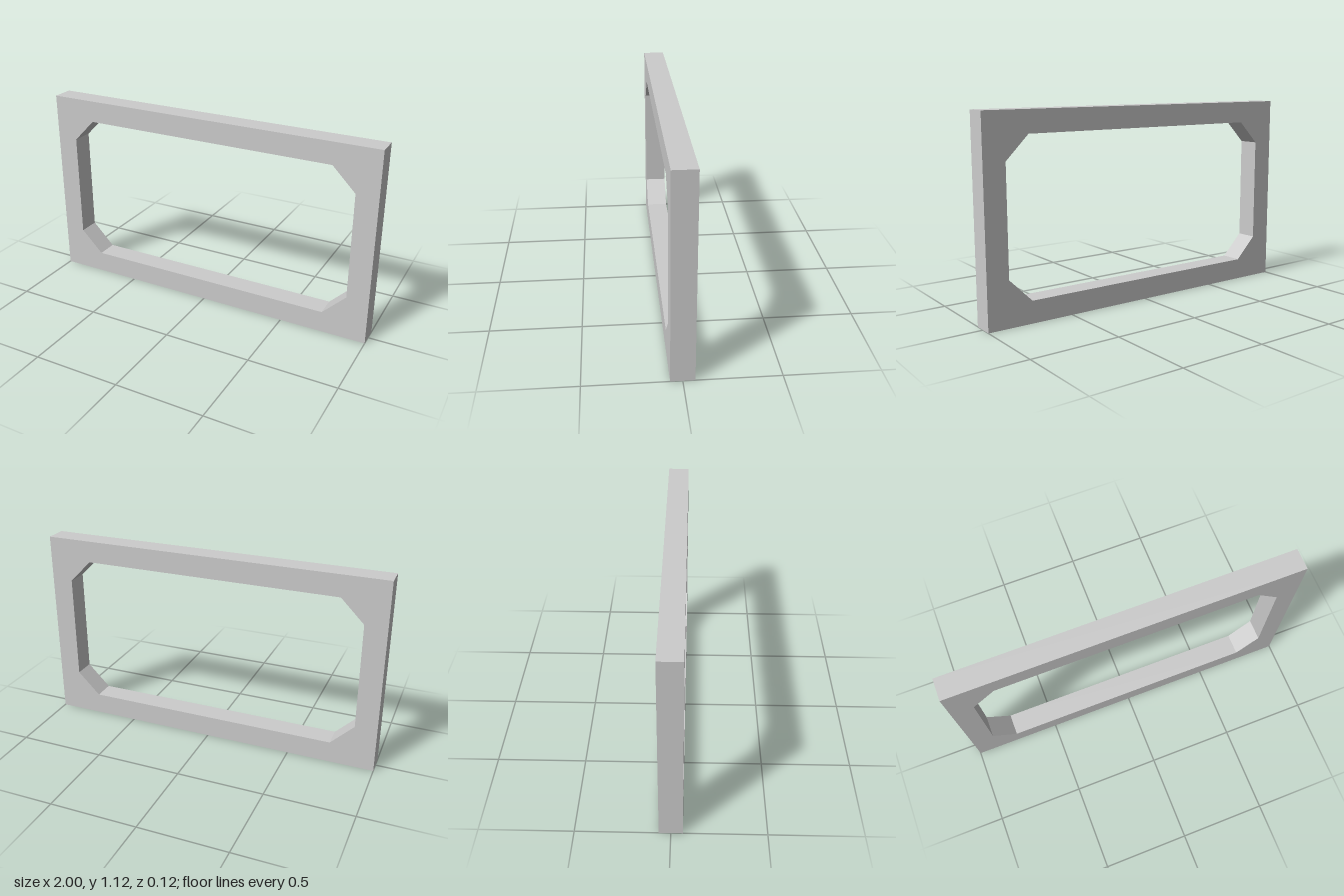
import * as THREE from 'three';

const WIDTH = 2, HEIGHT = 1.125, DEPTH = 0.125;
const BORDER = 0.125;  // thickness of the frame bars
const CHAMFER = 0.132; // cut corners of the opening

export function createModel() {
  const group = new THREE.Group();
  group.name = 'rectangularFrame';

  // Outer rectangle standing on the ground
  const w = WIDTH / 2;
  const outline = new THREE.Shape([
    new THREE.Vector2(-w, 0),
    new THREE.Vector2(w, 0),
    new THREE.Vector2(w, HEIGHT),
    new THREE.Vector2(-w, HEIGHT),
  ]);

  // Opening with chamfered corners
  const x = w - BORDER, y0 = BORDER, y1 = HEIGHT - BORDER, c = CHAMFER;
  outline.holes.push(new THREE.Path([
    [-x + c, y0], [-x, y0 + c], [-x, y1 - c], [-x + c, y1],
    [x - c, y1], [x, y1 - c], [x, y0 + c], [x - c, y0],
  ].map(([px, py]) => new THREE.Vector2(px, py))));

  const geometry = new THREE.ExtrudeGeometry(outline, { depth: DEPTH, bevelEnabled: false });
  geometry.translate(0, 0, -DEPTH / 2);

  const frame = new THREE.Mesh(
    geometry,
    new THREE.MeshStandardMaterial({ color: 0xcccccc, flatShading: true })
  );
  frame.name = 'frame';
  group.add(frame);
  return group;
}
